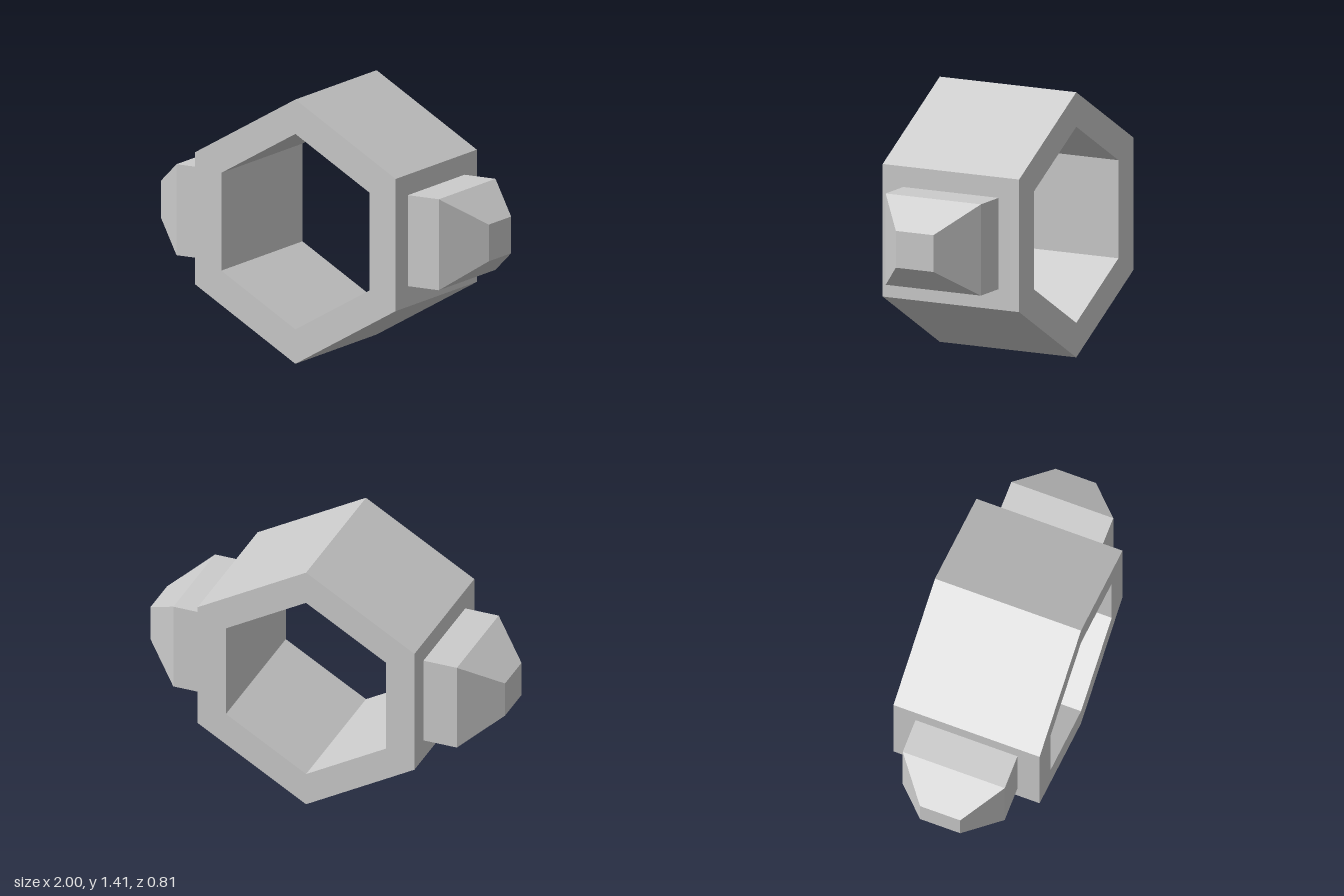
import * as THREE from 'three';

const CENTER_Y = 0.706;

// Corners of a hexagon with one point straight up
function hexagon(radius) {
  return Array.from({ length: 6 }, (_, i) => {
    const a = Math.PI / 2 + (i * Math.PI) / 3;
    return new THREE.Vector2(radius * Math.cos(a), radius * Math.sin(a));
  });
}

// Hexagonal tube, open at front and back
function ringGeometry(outer, inner, depth) {
  const shape = new THREE.Shape(hexagon(outer));
  shape.holes.push(new THREE.Path(hexagon(inner)));
  return new THREE.ExtrudeGeometry(shape, { depth, bevelEnabled: false }).translate(0, 0, -depth / 2);
}

// Square block whose outer half tapers to a small flat end
function lugGeometry() {
  const sections = [
    { x: 0.6, h: 0.243, d: 0.284 },
    { x: 0.8, h: 0.243, d: 0.284 },
    { x: 1.0, h: 0.098, d: 0.112 },
  ];
  const geo = new THREE.BoxGeometry(2, 2, 2, 2, 1, 1);
  const pos = geo.attributes.position;
  for (let i = 0; i < pos.count; i++) {
    const s = sections[Math.round(pos.getX(i)) + 1];
    pos.setXYZ(i, s.x, pos.getY(i) * s.h, pos.getZ(i) * s.d);
  }
  geo.computeVertexNormals();
  return geo;
}

export function createModel() {
  const group = new THREE.Group();
  const material = new THREE.MeshStandardMaterial({ color: 0xcccccc, flatShading: true });

  const ring = new THREE.Mesh(ringGeometry(0.706, 0.522, 0.814), material);
  ring.name = 'hexagonalRing';
  ring.position.y = CENTER_Y;
  group.add(ring);

  // One lug on each side, the right one turned half round
  const lugGeo = lugGeometry();
  for (const [name, turn] of [['leftLug', 0], ['rightLug', Math.PI]]) {
    const lug = new THREE.Mesh(lugGeo, material);
    lug.name = name;
    lug.position.y = CENTER_Y;
    lug.rotation.y = turn;
    group.add(lug);
  }

  return group;
}
